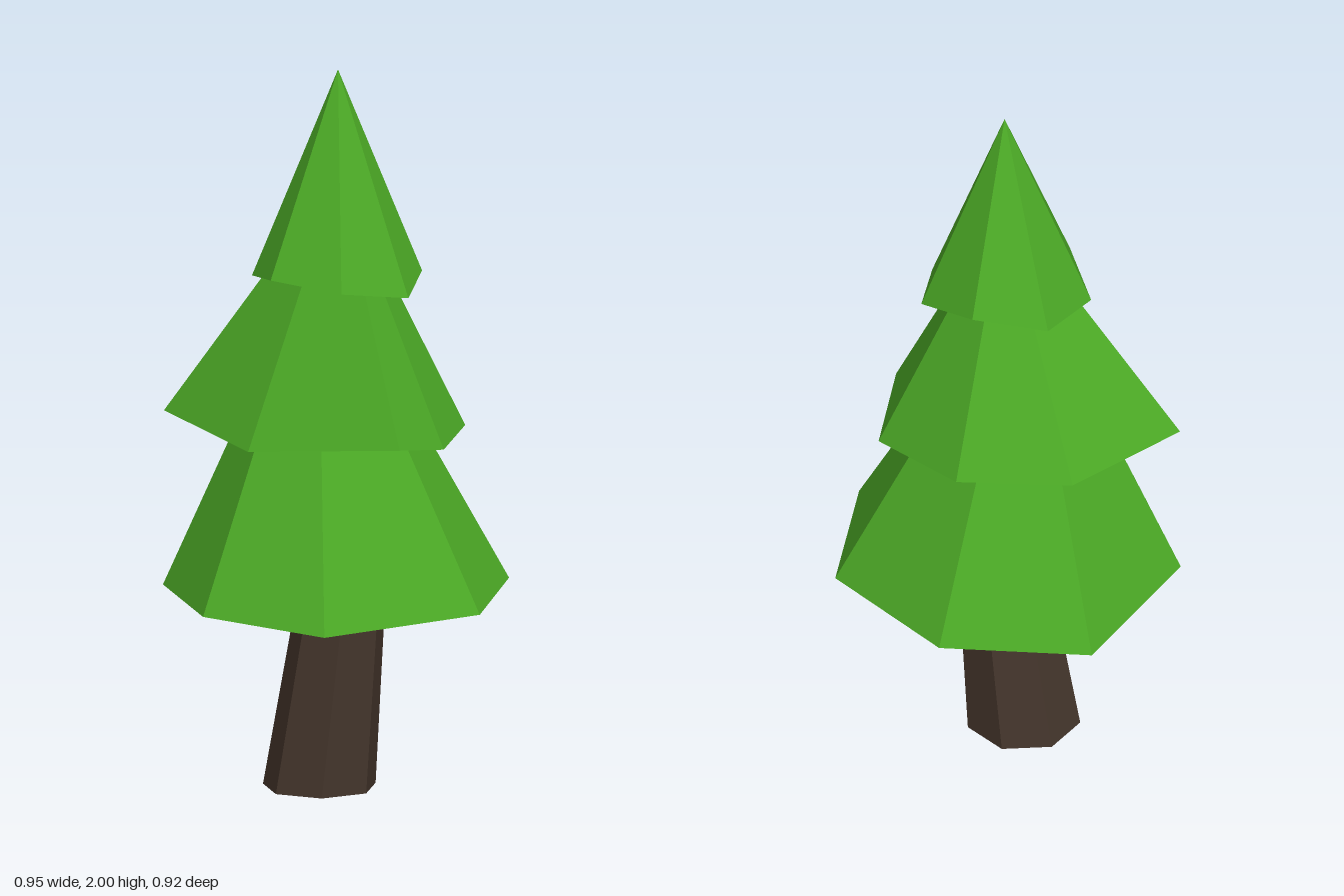
import * as THREE from 'three';

const leafGreen = new THREE.MeshStandardMaterial({ color: 0x4caa26, flatShading: true });
leafGreen.name = 'leafGreen';
const barkBrown = new THREE.MeshStandardMaterial({ color: 0x45362c, flatShading: true });
barkBrown.name = 'barkBrown';

// Uneven closed cone: a tip joined to a seven-point rim, with a base fan.
function tier(name, tip, rim) {
  const centre = [0, 1, 2].map(k => rim.reduce((sum, p) => sum + p[k], 0) / rim.length);
  const points = [];
  rim.forEach((p, i) => {
    const q = rim[(i + 1) % rim.length];
    points.push(...tip, ...q, ...p, ...centre, ...p, ...q);
  });
  const geometry = new THREE.BufferGeometry();
  geometry.setAttribute('position', new THREE.Float32BufferAttribute(points, 3));
  geometry.computeVertexNormals();
  const mesh = new THREE.Mesh(geometry, leafGreen);
  mesh.name = name;
  return mesh;
}

// Leaning, tapered seven-sided trunk
function trunk() {
  const height = 0.6;
  const geometry = new THREE.CylinderGeometry(0.119, 0.157, height, 7);
  geometry.rotateY(Math.PI);
  geometry.translate(0, height / 2, 0);
  const pos = geometry.attributes.position;
  for (let i = 0; i < pos.count; i++) {
    pos.setX(i, pos.getX(i) - 0.05 + 0.122 * pos.getY(i));
    pos.setZ(i, pos.getZ(i) + 0.02);
  }
  geometry.computeVertexNormals();
  const mesh = new THREE.Mesh(geometry, barkBrown);
  mesh.name = 'trunk';
  return mesh;
}

export function createModel() {
  const tree = new THREE.Group();
  tree.name = 'pineTree';
  tree.add(
    trunk(),
    // Rims run from the back around by +x
    tier('lowerBranches', [-0.05, 1.51, 0.03], [
      [0.005, 0.546, -0.46], [0.38, 0.557, -0.28], [0.473, 0.546, 0.13], [0.155, 0.52, 0.456],
      [-0.205, 0.546, 0.456], [-0.467, 0.546, 0.13], [-0.37, 0.5, -0.28],
    ]),
    tier('middleBranches', [0.005, 1.71, 0.02], [
      [0.005, 1.02, -0.335], [0.285, 0.99, -0.2], [0.355, 0.99, 0.105], [0.33, 1.034, 0.345],
      [-0.12, 0.99, 0.345], [-0.477, 1.024, 0.1], [-0.28, 0.99, -0.195],
    ]),
    tier('topBranches', [0.005, 2, 0.022], [
      [0.005, 1.485, -0.215], [0.19, 1.427, -0.125], [0.237, 1.395, 0.075], [0.11, 1.427, 0.238],
      [-0.1, 1.447, 0.238], [-0.227, 1.417, 0.075], [-0.18, 1.435, -0.125],
    ]),
  );
  return tree;
}
